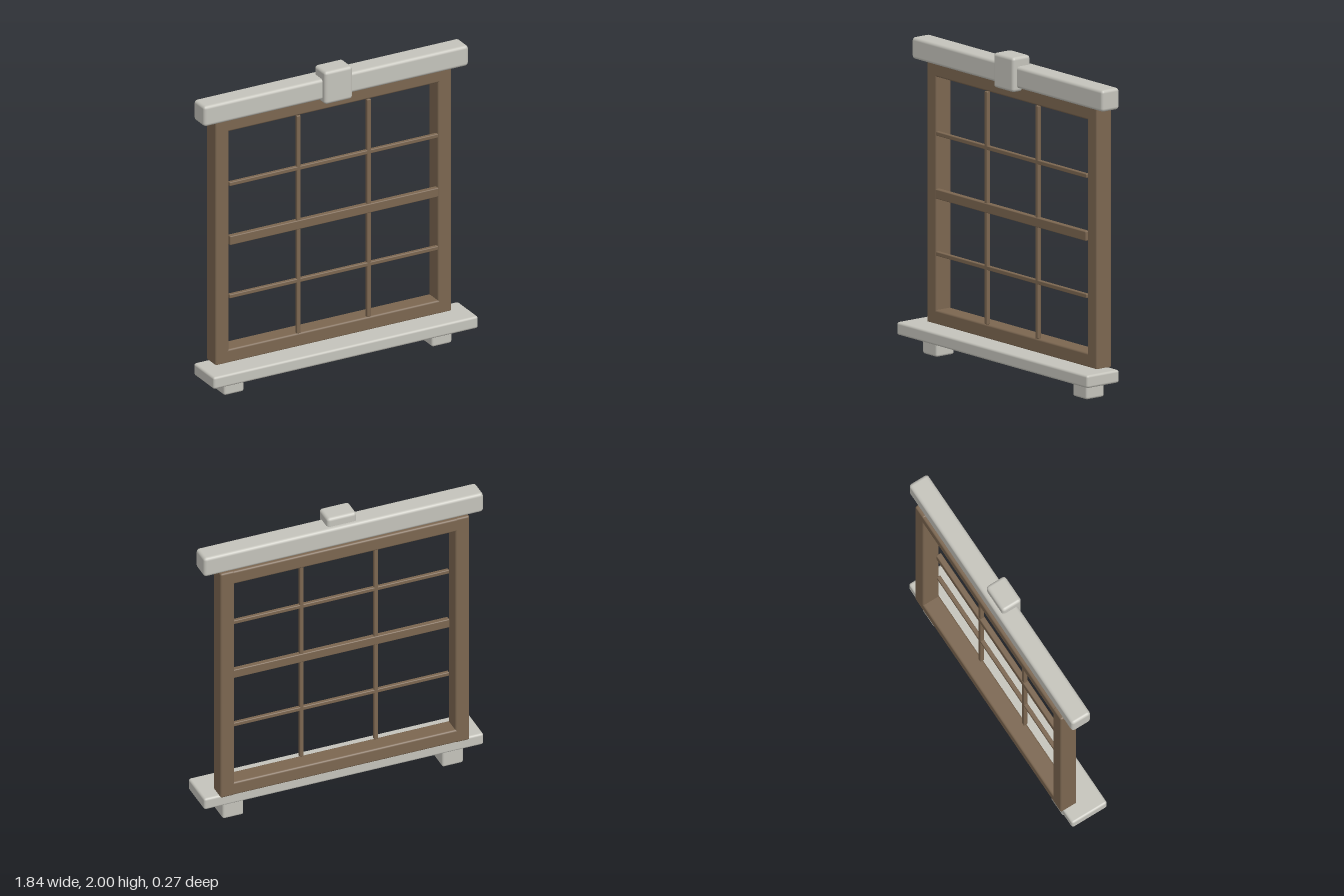
import * as THREE from 'three';
import { RoundedBoxGeometry } from 'three/addons/geometries/RoundedBoxGeometry.js';

export function createModel() {
  const group = new THREE.Group();
  const stone = new THREE.MeshStandardMaterial({ color: 0xc4c3bb });
  stone.name = 'pale stone';
  const wood = new THREE.MeshStandardMaterial({ color: 0x7b6650 });
  wood.name = 'brown wood';

  // Softly bevelled block given by its [min, max] range on each axis
  function block(name, material, [x0, x1], [y0, y1], [z0, z1], bevel) {
    const geometry = new RoundedBoxGeometry(x1 - x0, y1 - y0, z1 - z0, 2, bevel);
    const mesh = new THREE.Mesh(geometry, material);
    mesh.name = name;
    mesh.position.set((x0 + x1) / 2, (y0 + y1) / 2, (z0 + z1) / 2);
    group.add(mesh);
  }

  // Stone surround
  block('lintel', stone, [-0.918, 0.918], [1.807, 1.942], [-0.119, 0.016], 0.02);
  block('keystone', stone, [-0.097, 0.097], [1.783, 2], [-0.091, 0.046], 0.02);
  block('sill', stone, [-0.918, 0.918], [0.108, 0.188], [-0.119, 0.134], 0.015);
  for (const side of [-1, 1]) {
    const x = side * 0.721;
    block(side > 0 ? 'leftSillBracket' : 'rightSillBracket', stone,
      [x - 0.069, x + 0.069], [0, 0.118], [-0.105, 0.035], 0.014);
  }

  // Wooden frame
  const depth = [-0.137, -0.021];
  for (const side of [-1, 1]) {
    const x = side * 0.7715;
    block(side > 0 ? 'leftStile' : 'rightStile', wood,
      [x - 0.0465, x + 0.0465], [0.18, 1.815], depth, 0.012);
  }
  block('topRail', wood, [-0.76, 0.76], [1.722, 1.813], depth, 0.012);
  block('bottomRail', wood, [-0.76, 0.76], [0.182, 0.273], depth, 0.012);

  // Glazing bars, set at the front of the frame
  block('meetingRail', wood, [-0.724, 0.724], [0.968, 1.028], [-0.046, -0.011], 0.006);
  for (const y of [0.625, 1.372]) {
    block('horizontalBar', wood, [-0.724, 0.724], [y - 0.013, y + 0.013], [-0.042, -0.016], 0.005);
  }
  for (const x of [-0.244, 0.244]) {
    block('verticalBar', wood, [x - 0.013, x + 0.013], [0.273, 1.722], [-0.042, -0.016], 0.005);
  }

  return group;
}
